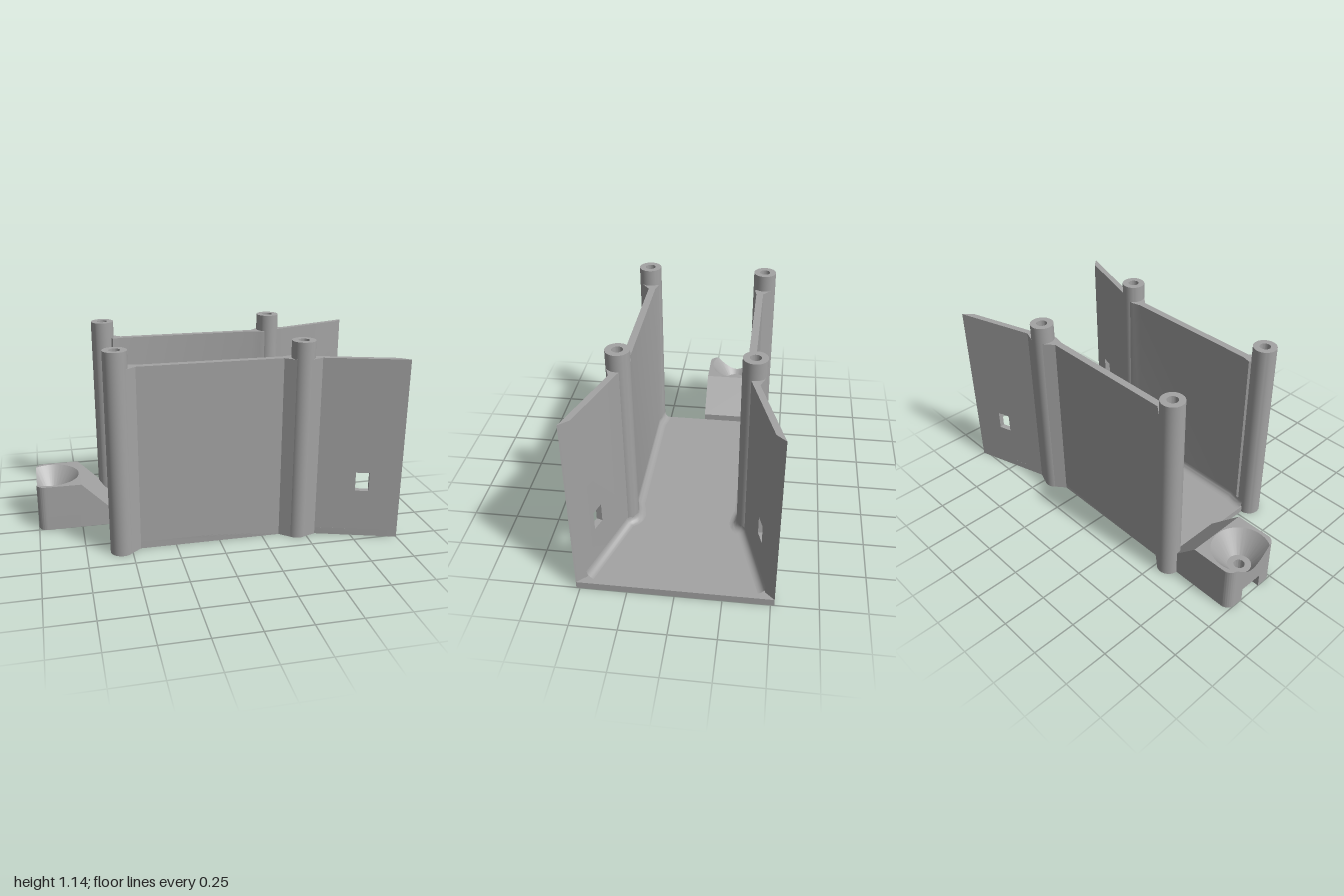
import * as THREE from 'three';
import { toCreasedNormals } from 'three/addons/utils/BufferGeometryUtils.js';

const grey = new THREE.MeshStandardMaterial({ color: 0xa3a3a3 });
grey.name = 'grey plastic';

const WALL_TOP = 1.05, POST_TOP = 1.145, FLOOR = 0.04;
const POST_R = 0.065, HOLE_R = 0.03, POST_Z = 0.348;

// Extrudes a plan outline of [x, z] points from y0 up to y1
function slab(points, y0, y1) {
  const shape = new THREE.Shape(points.map(([x, z]) => new THREE.Vector2(x, -z)));
  return new THREE.ExtrudeGeometry(shape, { depth: y1 - y0, bevelEnabled: false })
    .rotateX(-Math.PI / 2).translate(0, y0, 0);
}

// Skins a grid of points given by f(u, v) -> [x, y, z]
function skin(nu, nv, f) {
  const pos = [], index = [];
  for (let u = 0; u <= nu; u++) for (let v = 0; v <= nv; v++) pos.push(...f(u, v));
  for (let u = 0; u < nu; u++) for (let v = 0; v < nv; v++) {
    const a = u * (nv + 1) + v, b = a + nv + 1;
    index.push(a, b, b + 1, a, b + 1, a + 1);
  }
  const g = new THREE.BufferGeometry();
  g.setAttribute('position', new THREE.Float32BufferAttribute(pos, 3));
  g.setIndex(index);
  return g;
}

// Mirrors a geometry across z = 0, keeping its faces outward
function mirrorZ(g) {
  g.scale(1, 1, -1);
  for (const name of ['position', 'normal']) {
    const attr = g.attributes[name], b = new THREE.Vector3(), c = new THREE.Vector3();
    for (let i = 0; i < attr.count; i += 3) {
      b.fromBufferAttribute(attr, i + 1);
      c.fromBufferAttribute(attr, i + 2);
      attr.setXYZ(i + 1, c.x, c.y, c.z);
      attr.setXYZ(i + 2, b.x, b.y, b.z);
    }
  }
  return g;
}

// Hollow post, either open to the ground or closed at floor level
function post(x, through) {
  const profile = through
    ? [[HOLE_R, 0], [POST_R, 0], [POST_R, POST_TOP], [HOLE_R, POST_TOP], [HOLE_R, 0]]
    : [[0, 0], [POST_R, 0], [POST_R, POST_TOP], [HOLE_R, POST_TOP], [HOLE_R, FLOOR], [0, FLOOR]];
  return new THREE.LatheGeometry(profile.map(p => new THREE.Vector2(...p)), 40)
    .translate(x, 0, POST_Z);
}

// Straight wall with fairings that run into the posts
function straightWall() {
  return slab([
    [-0.52, 0.402], [-0.45, 0.345], [0.35, 0.345], [0.42, 0.402],
    [0.43, 0.29], [0.4, 0.292], [0.35, 0.305], [-0.45, 0.305], [-0.5, 0.292], [-0.515, 0.31],
  ], 0, WALL_TOP);
}

// Flared wall with a square-cut window and a slanted end
function flaredWall() {
  const end = 0.5557, s0 = 0.305, s1 = 0.381;
  const shape = new THREE.Shape();
  shape.moveTo(0, 0).lineTo(end, 0).lineTo(end, WALL_TOP).lineTo(0, WALL_TOP).closePath();
  const hole = new THREE.Path();
  hole.moveTo(s0, 0.28).lineTo(s0, 0.39).lineTo(s1, 0.39).lineTo(s1, 0.28).closePath();
  shape.holes.push(hole);
  const g = new THREE.ExtrudeGeometry(shape, { depth: 0.034, bevelEnabled: false });
  const p = g.attributes.position;
  for (let i = 0; i < p.count; i++) {
    if (p.getX(i) > 0.55 && p.getZ(i) < 0.01) p.setX(i, end - 0.058);
  }
  return g.rotateY(-Math.atan2(0.167, 0.53)).translate(0.48, 0, 0.3205);
}

// Concave fillet between the floor and the inner wall line
function fillet() {
  const path = [
    [-0.555, 0.283], [-0.53, 0.287], [-0.5, 0.293], [-0.45, 0.305], [0.35, 0.305], [0.4, 0.292],
    [0.43, 0.286], [0.455, 0.283], [0.48, 0.288], [0.495, 0.297], [0.512, 0.317], [0.53, 0.336], [0.955, 0.47],
  ];
  const r = 0.04, last = path.length - 1, steps = 6;
  return skin(last, steps, (u, v) => {
    const [x, z] = path[u];
    const a = path[Math.max(u - 1, 0)], b = path[Math.min(u + 1, last)];
    const dx = b[0] - a[0], dz = b[1] - a[1], len = Math.hypot(dx, dz);
    const t = v / steps * Math.PI / 2, off = r - r * Math.cos(t);
    return [x + dz / len * off, FLOOR + r - r * Math.sin(t), z - dx / len * off];
  });
}

// Plan outline of the mounting lug, with an optional slot for the nut
const LUG = { x: -0.91, z: -0.17 };
function lugOutline(slotted) {
  const s = new THREE.Shape();
  s.moveTo(-0.745, -0.35).lineTo(-0.745, 0.01).lineTo(-0.95, 0.01);
  s.absarc(-0.95, -0.04, 0.05, Math.PI / 2, Math.PI, false);
  if (slotted) {
    s.lineTo(-1, LUG.z + 0.07);
    s.absarc(LUG.x, LUG.z, 0.07, Math.PI / 2, -Math.PI / 2, true);
    s.lineTo(-1, LUG.z - 0.07);
  }
  s.lineTo(-1, -0.3);
  s.absarc(-0.95, -0.3, 0.05, Math.PI, Math.PI * 1.5, false);
  s.lineTo(-0.745, -0.35);
  return s.getPoints(10).map(p => [p.x, p.y]);
}

// Upper lug: rings from the screw hole through the countersink to the outline
function lugTop() {
  const corners = lugOutline(false), pts = [];
  for (let i = 0; i < corners.length - 1; i++) {
    const [ax, az] = corners[i], [bx, bz] = corners[i + 1];
    const n = Math.max(1, Math.ceil(Math.hypot(bx - ax, bz - az) / 0.012));
    for (let k = 0; k < n; k++) pts.push([ax + (bx - ax) * k / n, az + (bz - az) * k / n]);
  }
  const low = 0.08, seat = 0.155, top = 0.27, rIn = 0.065, rOut = 0.16;
  return skin(pts.length, 6, (u, v) => {
    const [px, pz] = pts[u % pts.length];
    const dx = px - LUG.x, dz = pz - LUG.z, edge = Math.hypot(dx, dz);
    const R = Math.min(rOut, edge);
    const h = seat + (top - seat) * (R - rIn) / (rOut - rIn);
    const [r, y] = [[HOLE_R, low], [HOLE_R, seat], [rIn, seat], [R, h], [edge, h], [edge, low], [HOLE_R, low]][v];
    return [LUG.x + dx / edge * r, y, LUG.z + dz / edge * r];
  });
}

// Sloping web that joins the lug to the tray
function lugRamp() {
  const s = new THREE.Shape();
  s.moveTo(-0.745, 0).lineTo(-0.555, 0).lineTo(-0.555, 0.08).lineTo(-0.745, 0.27).closePath();
  return new THREE.ExtrudeGeometry(s, { depth: 0.36, bevelEnabled: false }).translate(0, 0, -0.35);
}

export function createModel() {
  const model = new THREE.Group();
  model.name = 'bracketTray';
  const add = (name, geometry, mirrored = false) => {
    let g = toCreasedNormals(geometry, 0.55);
    if (mirrored) g = mirrorZ(g);
    const mesh = new THREE.Mesh(g, grey);
    mesh.name = name;
    model.add(mesh);
  };

  // Floor, notched around the open post
  add('floor', slab([
    [-0.555, -0.345], [0.53, -0.372], [1, -0.52], [1, 0.52], [0.53, 0.372], [0.48, 0.345],
    [-0.49, 0.345], [-0.51, 0.31], [-0.555, 0.3],
  ].map(([x, z]) => (x === 0.53 ? [0.555, Math.sign(z) * 0.38] : [x, z]))
    .toSpliced(1, 0, [0.45, -0.345]), 0, FLOOR));

  // Both sides: walls, posts and fillets
  for (const back of [false, true]) {
    const side = back ? 'right' : 'left';
    add(side + 'StraightWall', straightWall(), back);
    add(side + 'FlaredWall', flaredWall(), back);
    add(side + 'Fairing', slab([[0.475, 0.409], [0.555, 0.38], [0.54, 0.36], [0.475, 0.345]], 0, WALL_TOP), back);
    add(side + 'Fillet', fillet(), back);
    add(side + 'RearPost', post(-0.555, !back), back);
    add(side + 'FrontPost', post(0.455, false), back);
  }

  // Mounting lug
  add('lugBase', slab(lugOutline(true).slice(0, -1), 0, 0.08));
  add('lugTop', lugTop());
  add('lugRamp', lugRamp());
  return model;
}
